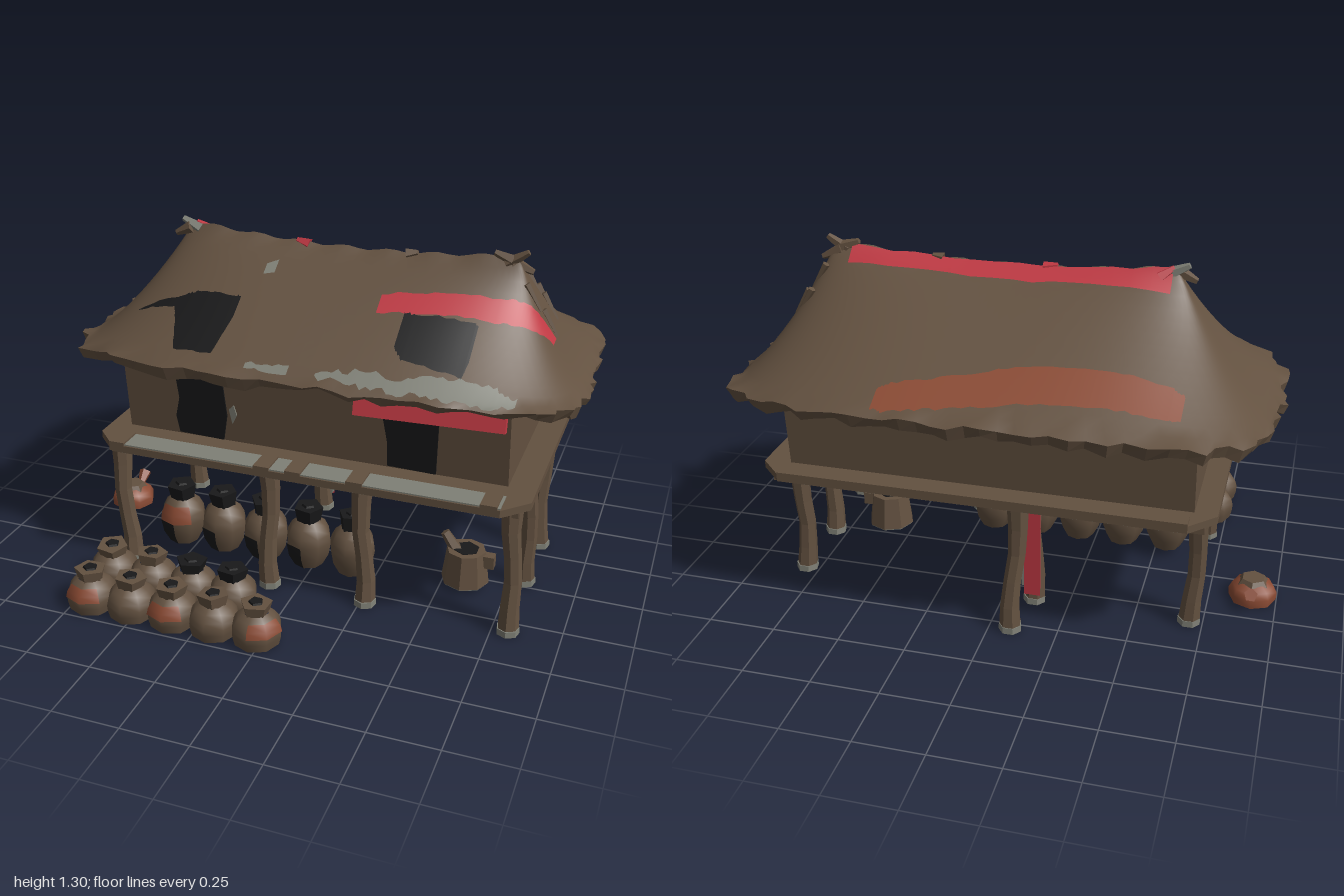
import * as THREE from 'three';

const mat = (name, hex) => {
  const m = new THREE.MeshStandardMaterial({ color: hex });
  m.name = name;
  return m;
};
const lerp = THREE.MathUtils.lerp;

export function createModel() {
  const brown = mat('weathered brown', 0x635140);
  const black = mat('soot black', 0x19191a);
  const red = mat('faded red', 0xbe3842);
  const grey = mat('pale grey', 0x7f8076);
  const rust = mat('clay orange', 0x8a4a33);

  const model = new THREE.Group();
  let seed = 7;
  const rnd = () => (seed = (seed * 16807) % 2147483647) / 2147483647;
  const flat = (g) => {
    const f = g.index ? g.toNonIndexed() : g;
    f.computeVertexNormals();
    return f;
  };
  const add = (name, geo, m, x = 0, y = 0, z = 0, parent = model) => {
    const mesh = new THREE.Mesh(geo, m);
    mesh.name = name;
    mesh.position.set(x, y, z);
    parent.add(mesh);
    return mesh;
  };
  const box = (name, m, x0, x1, y0, y1, z0, z1) =>
    add(name, new THREE.BoxGeometry(x1 - x0, y1 - y0, z1 - z0), m, (x0 + x1) / 2, (y0 + y1) / 2, (z0 + z1) / 2);

  // Surface from closed rings of points, listed from the bottom up
  const loft = (rings) => {
    const n = rings[0].length, index = [];
    for (let r = 0; r < rings.length - 1; r++)
      for (let i = 0; i < n; i++) {
        const j = (i + 1) % n, a = r * n + i, b = r * n + j;
        index.push(a, a + n, b, b, a + n, b + n);
      }
    const g = new THREE.BufferGeometry();
    g.setAttribute('position', new THREE.Float32BufferAttribute(rings.flat(2), 3));
    g.setIndex(index);
    g.computeVertexNormals();
    return g;
  };

  // Roof rule: rounded rectangles shrinking from the eave (t = 0) to the ridge (t = 1)
  const N = 3.6, SEG = 112;
  const ring = (t) => ({ a: lerp(0.975, 0.62, t), b: lerp(0.585, 0.001, t), cx: lerp(0.012, 0.06, t), cz: lerp(-0.165, -0.1, t) });
  const roofHeight = (x, t, c) =>
    lerp(0.898 - 0.06 * c, 1.24 + 0.035 * ((x - 0.06) / 0.62) ** 2, Math.pow(t, 1 + 0.5 * c));
  const roofPoint = (i, t, scale = 1) => {
    const ang = (i / SEG) * Math.PI * 2, c = Math.cos(ang), s = Math.sin(ang);
    const r = Math.pow(Math.abs(c) ** N + Math.abs(s) ** N, -1 / N), q = ring(t);
    const x = q.cx + q.a * c * r;
    return [q.cx + q.a * c * r * scale, roofHeight(x, t, Math.abs(c * r) ** N), q.cz + q.b * s * r * scale];
  };
  const roofY = (x, z) => {
    let lo = 0, hi = 1, c = 0;
    for (let k = 0; k < 24; k++) {
      const t = (lo + hi) / 2, q = ring(t);
      c = Math.abs((x - q.cx) / q.a) ** N;
      if (c + Math.abs((z - q.cz) / q.b) ** N < 1) lo = t; else hi = t;
    }
    return roofHeight(x, lo, Math.min(c, 1));
  };

  // Thatched roof with a ragged eave
  const ids = [...Array(SEG).keys()];
  const eave = ids.map((i) => {
    const p = roofPoint(i, 0, 0.98 + 0.045 * rnd() ** 2);
    p[1] += (rnd() - 0.5) * 0.022;
    return p;
  });
  const rings = [eave];
  for (let k = 1; k <= 14; k++)
    rings.push(ids.map((i) => {
      const p = roofPoint(i, k / 14);
      if (k === 14) p[1] += Math.sin(p[0] * 37) * 0.006;
      return p;
    }));
  add('thatchRoof', loft(rings), brown);
  const lip = eave.map((p) => {
    const drop = p[2] > 0.3 && p[0] > 0 ? 0.012 : 0.026;
    return [p[0] * 0.985, p[1] - drop - 0.026 * rnd(), (p[2] + 0.165) * 0.975 - 0.165];
  });
  const under = ids.map((i) => {
    const p = roofPoint(i, 0, 0.5);
    p[1] = 0.9;
    return p;
  });
  add('eaveFringe', flat(loft([under, lip, eave])), brown);

  // Painted roof patches: columns of [x, back z, front z] laid on the roof
  const patch = (name, m, cols, ragged = 0) => {
    const pos = [], index = [], U = 8, V = 8;
    const total = (cols.length - 1) * U;
    for (let i = 0; i <= total; i++) {
      const k = Math.min(Math.floor(i / U), cols.length - 2), f = i / U - k;
      const [x, z0, z1] = cols[k].map((v, n) => lerp(v, cols[k + 1][n], f));
      const e0 = (rnd() - 0.5) * ragged, e1 = (rnd() - 0.5) * ragged;
      for (let j = 0; j <= V; j++) {
        const z = lerp(z0 + e0, z1 + e1, j / V);
        pos.push(x, roofY(x, z) + 0.007, z);
        if (i < total && j < V) {
          const a = i * (V + 1) + j, b = a + V + 1;
          index.push(a, a + 1, b, b, a + 1, b + 1);
        }
      }
    }
    const g = new THREE.BufferGeometry();
    g.setAttribute('position', new THREE.Float32BufferAttribute(pos, 3));
    g.setIndex(index);
    g.computeVertexNormals();
    add(name, g, m);
  };
  patch('leftRoofOpening', black, [[-0.68, 0.155, 0.16], [-0.52, 0.145, 0.185], [-0.5, 0.14, 0.22], [-0.45, 0.13, 0.35], [-0.3, 0.14, 0.355], [-0.27, 0.14, 0.22]], 0.008);
  patch('rightRoofOpening', black, [[0.34, 0.13, 0.25], [0.38, 0.125, 0.29], [0.59, 0.11, 0.295], [0.6, 0.11, 0.24]], 0.01);
  patch('redRoofStripe', red, [[0.24, 0.07, 0.14], [0.45, 0.04, 0.115], [0.65, 0.01, 0.085], [0.75, -0.03, 0.045], [0.84, -0.07, -0.02]], 0.01);
  patch('redRidgeStripe', red, [[-0.55, -0.175, -0.107], [0, -0.18, -0.107], [0.62, -0.165, -0.107]], 0.01);
  patch('orangeBackStripe', rust, [[-0.66, -0.6, -0.5], [-0.62, -0.615, -0.49], [-0.4, -0.625, -0.49], [-0.1, -0.66, -0.52], [0.12, -0.7, -0.58], [0.3, -0.73, -0.62], [0.34, -0.72, -0.65]], 0.012);
  patch('greyEaveWear', grey, [[0.1, 0.37, 0.385], [0.25, 0.345, 0.4], [0.4, 0.35, 0.4], [0.55, 0.31, 0.385], [0.7, 0.28, 0.36], [0.78, 0.29, 0.32]], 0.025);
  patch('greyEaveSpot', grey, [[-0.16, 0.37, 0.39], [0, 0.365, 0.395]], 0.01);
  patch('greyRoofSpot', grey, [[-0.22, 0.01, 0.05], [-0.18, -0.01, 0.04]]);

  // Loose tufts: knots on the ridge, blades lying down the hip end
  const tuft = (x, y, z, len, rx, rz, m = brown, r = 0.025) => {
    add('thatchTuft', flat(new THREE.CylinderGeometry(r * 0.45, r, len, 5)), m, x, y, z).rotation.set(rx, 0, rz);
  };
  [[-0.57, 1.265, -0.1, 0.08, 0, 1.1, grey], [-0.53, 1.255, -0.11, 0.06, 0.4, 0.9, red], [-0.6, 1.24, -0.09, 0.07, 0, 2.0],
    [0.68, 1.265, -0.1, 0.09, 0, -1.0], [0.63, 1.265, -0.1, 0.07, 0, 1.2], [0.7, 1.23, -0.11, 0.08, 0.3, -2.0],
    [-0.12, 1.238, -0.1, 0.05, 0, 1.3, red], [0.3, 1.24, -0.1, 0.04, 0, -1.3],
  ].forEach((t) => tuft(...t));
  [[0.73, -0.17], [0.75, -0.07], [0.79, -0.2], [0.76, -0.24], [0.81, -0.1]].forEach(([x, z]) =>
    tuft(x, roofY(x, z) + 0.002, z, 0.11, 0, -2.6, brown, 0.014));

  // Walls, the long sides flaring towards the top
  const walls = new THREE.BoxGeometry(1.47, 0.37, 0.69), wp = walls.attributes.position;
  for (let i = 0; i < wp.count; i++) if (wp.getY(i) > 0) wp.setZ(i, wp.getZ(i) * 1.1);
  add('houseWalls', flat(walls), brown, 0.025, 0.715, -0.125);
  const lean = Math.atan(0.0345 / 0.37);

  // Doorways and marks on the leaning walls
  const extrude = (corners, depth) =>
    new THREE.ExtrudeGeometry(new THREE.Shape(corners.map((c) => new THREE.Vector2(...c))), { depth, bevelEnabled: false });
  const plate = (name, m, corners, side) => {
    add(name, extrude(corners, 0.008), m, 0, 0, side > 0 ? 0.168 : -0.426).rotation.x = side * lean;
  };
  plate('leftDoorway', black, [[-0.5, 0.55], [-0.32, 0.545], [-0.3, 0.65], [-0.31, 0.81], [-0.4, 0.83], [-0.5, 0.82], [-0.49, 0.7], [-0.51, 0.62]], 1);
  plate('rightDoorway', black, [[0.32, 0.55], [0.5, 0.545], [0.51, 0.78], [0.3, 0.78], [0.32, 0.65]], 1);
  plate('wallChip', grey, [[-0.28, 0.62], [-0.26, 0.66], [-0.27, 0.7], [-0.29, 0.68]], 1);
  plate('backWallMark', red, [[0.17, 0.79], [0.29, 0.79], [0.29, 0.85], [0.19, 0.84]], -1);

  // Cloth awning hung over the right doorway
  const awning = add('clothAwning', new THREE.BoxGeometry(0.54, 0.1, 0.03), red, 0.48, 0.815, 0.275);
  awning.rotation.set(-0.3, 0, 0.025);

  // Raised floor with cut corners, laid flat from a plan outline
  const slab = (name, m, inset, y0, y1) => {
    const x0 = -0.79 + inset, x1 = 0.86 - inset, f = 0.4 - inset, b = -0.57 + inset, c = 0.09;
    const plan = [[x0, f - c], [x0 + c, f], [x1 - c, f], [x1, f - c], [x1, b + c], [x1 - c, b], [x0 + c, b], [x0, b + c]];
    add(name, extrude(plan.map(([x, z]) => [x, -z]), y1 - y0), m, 0, y0).rotation.x = -Math.PI / 2;
  };
  slab('platform', brown, 0, 0.512, 0.54);
  slab('platformUnderside', grey, 0.01, 0.506, 0.513);
  box('platformFrontTrim', grey, -0.7, 0.77, 0.54, 0.545, 0.3, 0.395);
  [[-0.75, -0.69], [0.76, 0.82]].forEach(([a, b]) => box('endBeam', brown, a, b, 0.475, 0.51, -0.5, 0.32));
  [-0.68, -0.1, 0.02, 0.25, 0.73].forEach((x) => box('beamEnd', brown, x - 0.03, x + 0.03, 0.515, 0.552, 0.3, 0.4));
  box('backRail', brown, -0.7, 0.77, 0.515, 0.55, -0.575, -0.52);

  // Crooked posts: foot (x, z) and head (x, z)
  const post = (x0, z0, x1, z1) => {
    const g = new THREE.CylinderGeometry(0.042, 0.041, 0.51, 7, 5), p = g.attributes.position;
    const bend = rnd() * 6;
    for (let i = 0; i < p.count; i++) {
      const f = p.getY(i) / 0.51 + 0.5, thin = 1 - 0.22 * Math.sin(f * Math.PI);
      const w = 0.01 * Math.sin(f * 5 + bend) * Math.sin(f * Math.PI);
      p.setXYZ(i, p.getX(i) * thin + lerp(x0, x1, f) + w, f * 0.51, p.getZ(i) * thin + lerp(z0, z1, f) - w);
    }
    add('post', flat(g), brown);
    add('postFoot', flat(new THREE.CylinderGeometry(0.042, 0.043, 0.024, 7)), grey, x0, 0.013, z0);
  };
  post(-0.69, 0.31, -0.725, 0.28);
  post(-0.11, 0.31, -0.12, 0.28);
  post(0.27, 0.31, 0.245, 0.28);
  post(0.81, 0.31, 0.79, 0.28);
  post(0.8, -0.035, 0.79, 0.0);
  post(0.8, -0.325, 0.79, -0.33);
  post(-0.08, -0.53, -0.1, -0.49);
  post(-0.7, -0.325, -0.72, -0.33);
  post(-0.12, -0.325, -0.12, -0.33);
  box('redPostPaint', red, -0.15, -0.09, 0.05, 0.42, -0.371, -0.364);
  box('greyPostPaint', grey, -0.086, -0.078, 0.08, 0.42, -0.36, -0.31);

  // Clay pots: lathe body, flat grey base, angular neck, optional paint on the sides
  const squat = [[0.9, 0], [0.98, 0.2], [1, 0.36], [0.93, 0.52], [0.74, 0.68], [0.5, 0.78]];
  const tall = [[0.62, 0], [0.9, 0.2], [1, 0.42], [0.95, 0.56], [0.76, 0.7], [0.5, 0.78]];
  const pot = (name, shape, x, y, z, r, h, neck, paints = []) => {
    const g = new THREE.Group();
    g.name = name;
    g.position.set(x, y, z);
    model.add(g);
    const prof = shape.map(([a, b]) => new THREE.Vector2(a * r, b * h));
    add('potBody', new THREE.LatheGeometry(prof, 8), brown, 0, 0, 0, g);
    add('potBase', new THREE.CircleGeometry(prof[0].x, 8), grey, 0, 0, 0, g).rotation.x = Math.PI / 2;
    const n = add('potNeck', flat(new THREE.CylinderGeometry(r * 0.64, r * 0.5, h * 0.28, 5)), neck, 0, h * 0.87, 0, g);
    n.rotation.set((rnd() - 0.5) * 0.16, rnd() * 3, (rnd() - 0.5) * 0.16);
    add('potMouth', flat(new THREE.CylinderGeometry(r * 0.26, r * 0.3, 0.008, 5)), black, 0, h * 1.01 + 0.004, 0, g);
    for (const [m, from, to, phi] of paints) {
      const band = prof.slice(from, to).map((p) => new THREE.Vector2(p.x + 0.004, p.y + 0.002));
      add('potPaint', new THREE.LatheGeometry(band, 2, phi, Math.PI / 2), m, 0, 0, 0, g);
    }
  };
  const shoulder = [rust, 2, 5, -Math.PI / 4], flank = [rust, 2, 5, 0], soot = [black, 0, 3, -Math.PI / 2];
  [[shoulder], [], [shoulder], [], [flank]].forEach((paint, i) =>
    pot('frontPot', squat, -0.68 + i * 0.165, 0, 0.655, 0.094, 0.155, brown, paint));
  [brown, brown, black, black].forEach((neck, i) =>
    pot('secondRowPot', squat, -0.68 + i * 0.165, 0, 0.485, 0.094, 0.16, neck));
  [[soot, shoulder], [soot], [soot], [soot], []].forEach((paint, i) =>
    pot('tallPot', tall, -0.545 + i * 0.178, 0.03, 0.15, 0.09, 0.245, black, paint));

  // Jug with spout and handle
  add('jugBody', flat(new THREE.CylinderGeometry(0.075, 0.092, 0.13, 8)), brown, 0.59, 0.095, 0.06);
  add('jugBase', flat(new THREE.CylinderGeometry(0.09, 0.088, 0.012, 8)), grey, 0.59, 0.031, 0.06);
  add('jugSpout', flat(new THREE.CylinderGeometry(0.018, 0.026, 0.09, 5)), brown, 0.53, 0.18, 0.06).rotation.z = 0.6;
  box('jugHandle', brown, 0.65, 0.7, 0.1, 0.15, 0.04, 0.08);
  add('jugMouth', flat(new THREE.CylinderGeometry(0.05, 0.05, 0.008, 6)), black, 0.59, 0.158, 0.06);

  // Low bowl with a small spout
  const bowl = [[0.088, 0], [0.09, 0.03], [0.078, 0.055], [0.05, 0.072]].map((p) => new THREE.Vector2(...p));
  add('bowl', new THREE.LatheGeometry(bowl, 8), rust, -0.91, 0, -0.1);
  add('bowlBase', new THREE.CircleGeometry(0.088, 8), grey, -0.91, 0.001, -0.1).rotation.x = Math.PI / 2;
  add('bowlLid', flat(new THREE.CylinderGeometry(0.045, 0.062, 0.024, 6)), brown, -0.91, 0.074, -0.1);
  add('bowlSpout', flat(new THREE.CylinderGeometry(0.026, 0.014, 0.06, 5)), rust, -0.91, 0.062, -0.195).rotation.x = -0.9;

  return model;
}
